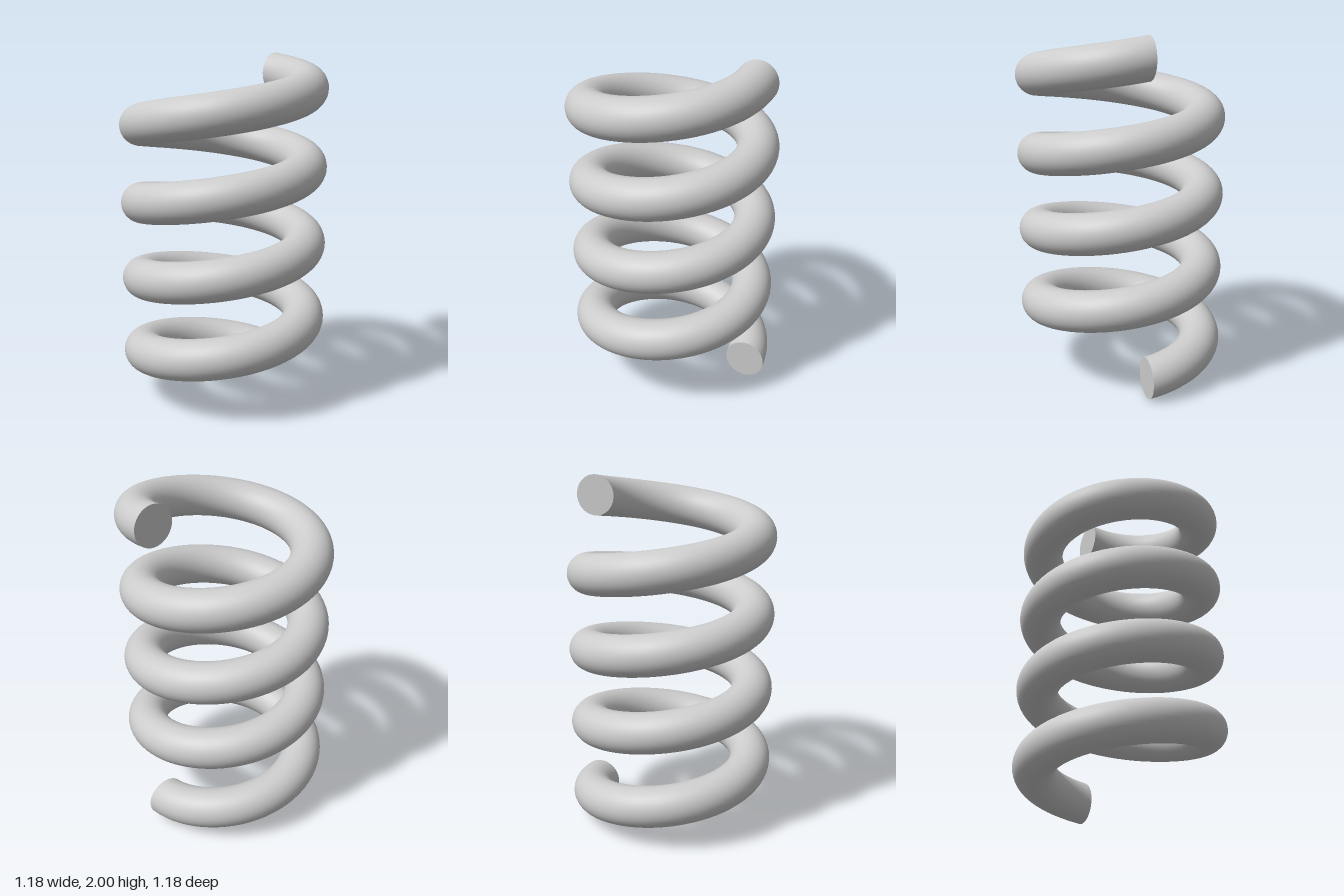
import * as THREE from 'three';
import { ParametricGeometry } from 'three/addons/geometries/ParametricGeometry.js';

const COIL_RADIUS = 0.471;
const WIRE_RADIUS = 0.117;
const TURNS = 4;
const HEIGHT = 2;

export function createModel() {
  const group = new THREE.Group();
  group.name = 'coilSpring';
  const material = new THREE.MeshStandardMaterial({ color: 0xcccccc });

  const add = (name, geometry) => {
    const mesh = new THREE.Mesh(geometry, material);
    mesh.name = name;
    group.add(mesh);
    return mesh;
  };

  const bottom = WIRE_RADIUS;
  const top = HEIGHT - WIRE_RADIUS;

  // Coil: an upright circle swept around the axis while it climbs
  const sweep = (u, v, target) => {
    const turn = u * TURNS * Math.PI * 2;
    const around = v * Math.PI * 2;
    const radius = COIL_RADIUS + WIRE_RADIUS * Math.cos(around);
    target.set(
      radius * Math.cos(turn),
      THREE.MathUtils.lerp(bottom, top, u) + WIRE_RADIUS * Math.sin(around),
      -radius * Math.sin(turn)
    );
  };
  add('coil', new ParametricGeometry(sweep, TURNS * 72, 40));

  // Flat cut ends: the lower one faces forward, the upper one backward
  const disc = new THREE.CircleGeometry(WIRE_RADIUS, 40);
  add('lowerEnd', disc).position.set(COIL_RADIUS, bottom, 0);
  const upperEnd = add('upperEnd', disc);
  upperEnd.position.set(COIL_RADIUS, top, 0);
  upperEnd.rotation.y = Math.PI;

  return group;
}
